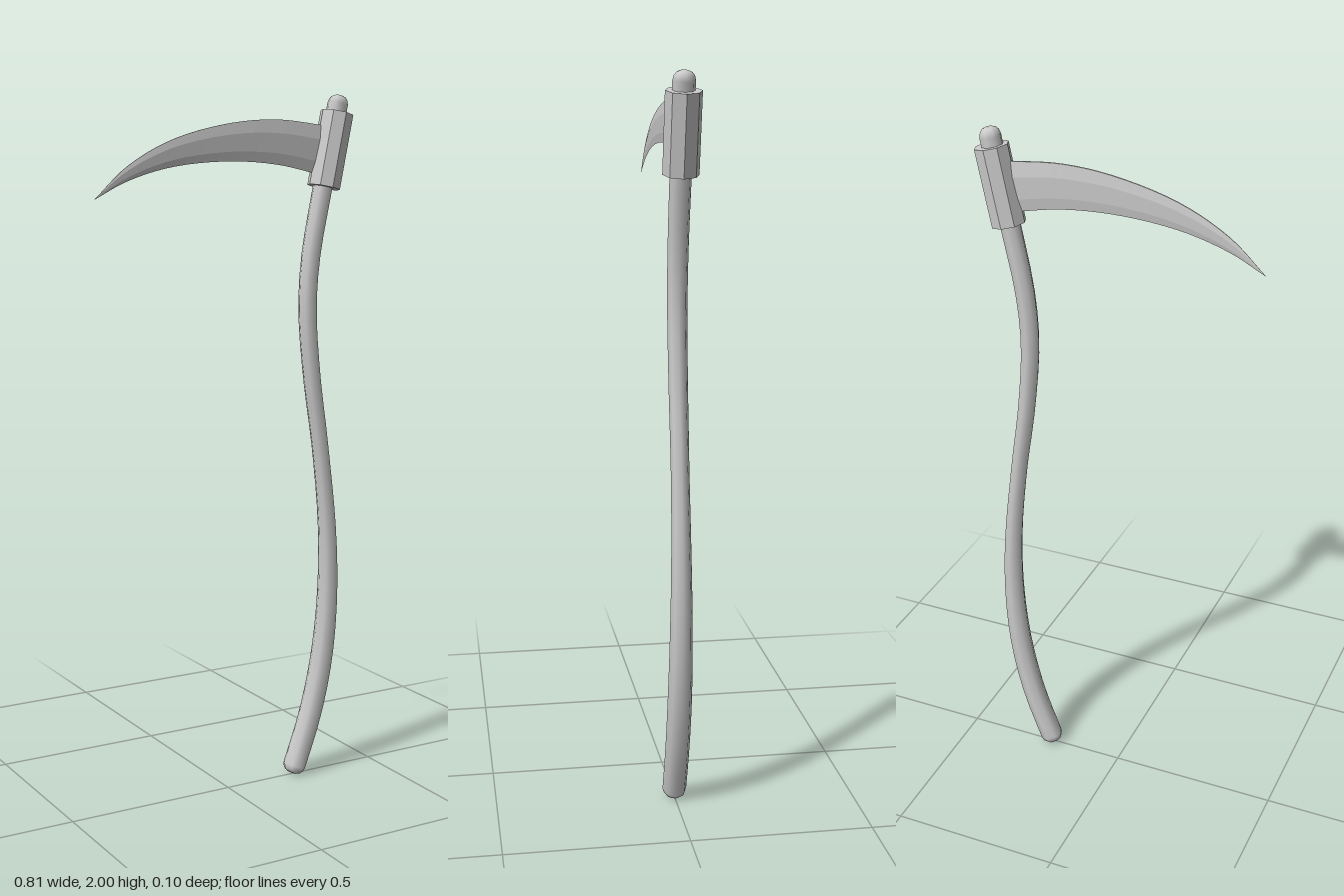
import * as THREE from 'three';

const material = (flat) => new THREE.MeshStandardMaterial({ color: 0xcccccc, flatShading: flat });

// Skin a list of equal-sized rings (arrays of Vector3), closing both ends.
function skin(rings) {
  const n = rings[0].length;
  const positions = rings.flat().flatMap((p) => [p.x, p.y, p.z]);
  const index = [];
  for (let i = 0; i < rings.length - 1; i++) {
    for (let j = 0; j < n; j++) {
      const a = i * n + j, b = i * n + (j + 1) % n;
      index.push(a, b, a + n, b, b + n, a + n);
    }
  }
  const last = (rings.length - 1) * n;
  for (let j = 1; j < n - 1; j++) {
    index.push(0, j + 1, j, last, last + j, last + j + 1);
  }
  const geometry = new THREE.BufferGeometry();
  geometry.setAttribute('position', new THREE.Float32BufferAttribute(positions, 3));
  geometry.setIndex(index);
  geometry.computeVertexNormals();
  return geometry;
}

const curve = (points) => new THREE.CatmullRomCurve3(points.map(([x, y]) => new THREE.Vector3(x, y, 0)));

// Curved shaft: octagonal sweep, slim in the middle, with rounded ends
function createShaft() {
  const path = curve([
    [0.222, 0.003], [0.285, 0.18], [0.325, 0.36], [0.342, 0.55], [0.338, 0.75], [0.31, 1.0],
    [0.28, 1.2], [0.263, 1.4], [0.273, 1.55], [0.31, 1.74], [0.364, 2.0],
  ]);
  const ends = [0, 0.002, 0.006, 0.012];
  const endScale = [0.35, 0.68, 0.9, 1];
  const stations = ends.map((t, i) => [t, endScale[i]]);
  for (let i = 1; i < 32; i++) stations.push([0.012 + (0.976 * i) / 32, 1]);
  for (let i = 3; i >= 0; i--) stations.push([1 - ends[i], endScale[i]]);

  const rings = stations.map(([t, scale]) => {
    const p = path.getPointAt(t), d = path.getTangentAt(t);
    const side = new THREE.Vector3(d.y, -d.x, 0);
    const base = t < 0.5
      ? THREE.MathUtils.lerp(0.034, 0.025, THREE.MathUtils.smoothstep(t, 0.12, 0.5))
      : THREE.MathUtils.lerp(0.025, 0.03, (t - 0.5) * 2);
    return Array.from({ length: 8 }, (_, j) => {
      const a = (-j * Math.PI) / 4;
      return p.clone().addScaledVector(side, base * scale * Math.cos(a))
        .add(new THREE.Vector3(0, 0, base * scale * Math.sin(a)));
    });
  });
  const mesh = new THREE.Mesh(skin(rings), material(false));
  mesh.name = 'shaft';
  return mesh;
}

// Tilted octagonal collar clamping the blade to the shaft
function createCollar() {
  const low = new THREE.Vector3(0.314, 1.743, 0), high = new THREE.Vector3(0.357, 1.952, 0);
  const geometry = new THREE.CylinderGeometry(0.048, 0.048, low.distanceTo(high), 8);
  const mesh = new THREE.Mesh(geometry, material(true));
  mesh.position.copy(low).lerp(high, 0.5);
  mesh.quaternion.setFromUnitVectors(new THREE.Vector3(0, 1, 0), high.sub(low).normalize());
  mesh.name = 'collar';
  return mesh;
}

// Curved blade: thick ridge below the spine, sharp lower edge, tapering to a point
function createBlade() {
  const spine = curve([
    [0.32, 1.915], [0.156, 1.929], [0, 1.915], [-0.177, 1.868], [-0.31, 1.797], [-0.405, 1.712],
  ]);
  const edge = curve([
    [0.3, 1.778], [0.16, 1.805], [0, 1.813], [-0.177, 1.796], [-0.31, 1.758], [-0.405, 1.711],
  ]);
  const rings = [];
  for (let i = 0; i <= 24; i++) {
    const t = i / 24;
    const top = spine.getPoint(t), bottom = edge.getPoint(t);
    const half = 0.008 * Math.sqrt(1 - t) * Math.min(1, 0.45 + 2.2 * (1 - t));
    const at = (k, z) => top.clone().lerp(bottom, k).setZ(z * half);
    rings.push([at(0, 0.35), at(0.3, 1), at(0.75, 0.7), at(1, 0), at(0.75, -0.7), at(0.3, -1), at(0, -0.35)]);
  }
  // Rings run clockwise about the blade direction, so reverse each one
  const mesh = new THREE.Mesh(skin(rings.map((r) => r.reverse())), material(true));
  mesh.name = 'blade';
  return mesh;
}

export function createModel() {
  const group = new THREE.Group();
  group.name = 'scythe';
  group.add(createShaft(), createCollar(), createBlade());
  return group;
}
